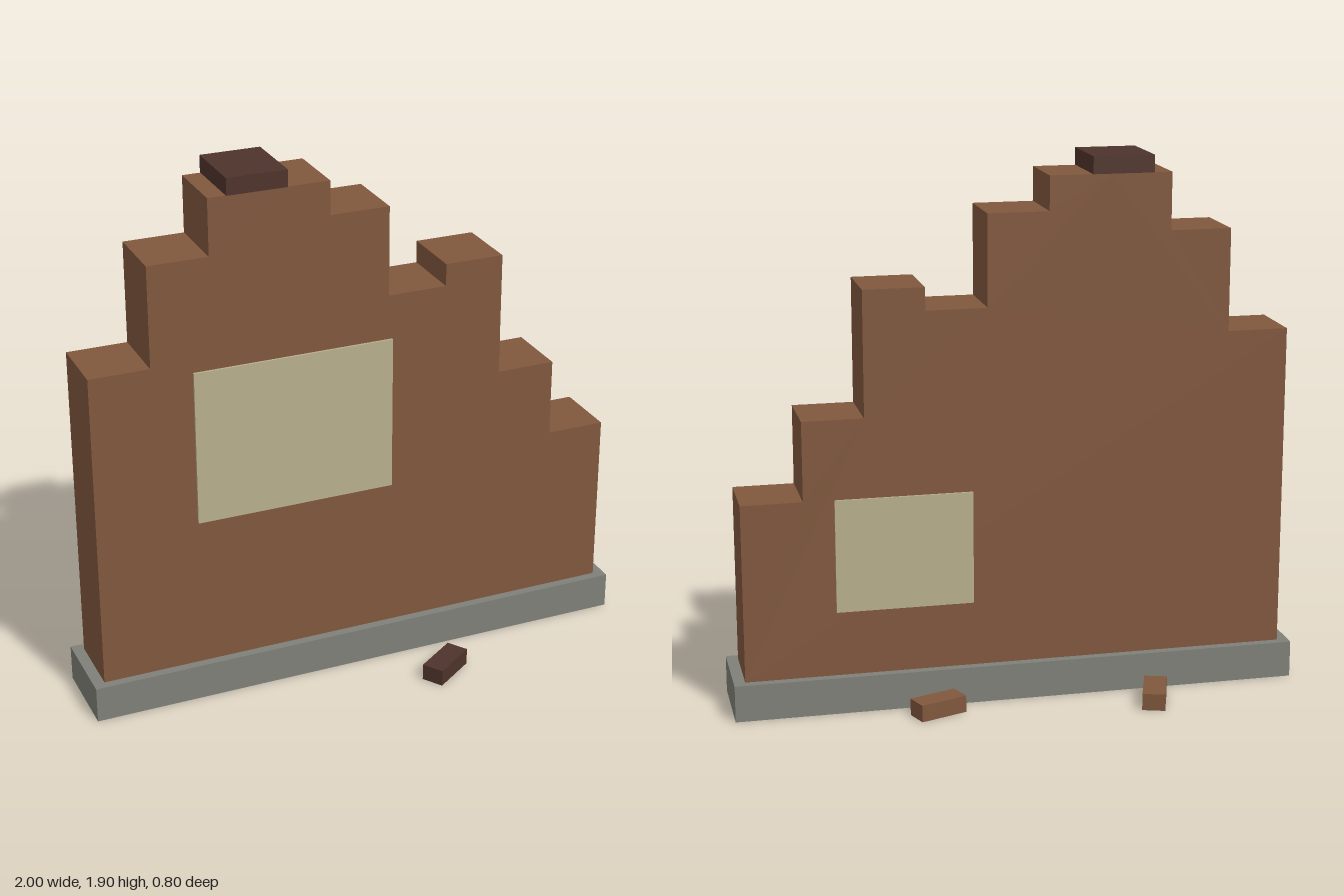
import * as THREE from 'three';

const mat = (color) => new THREE.MeshStandardMaterial({ color, flatShading: true });

export function createModel() {
  const group = new THREE.Group();
  const brick = mat(0x80573d), darkBrick = mat(0x4e332a);
  const stone = mat(0x7f8078), plaster = mat(0xb8af8c);
  const midZ = -0.025; // centre plane of the wall

  const box = (name, material, [w, h, d], [x, y, z], turn = 0) => {
    const mesh = new THREE.Mesh(new THREE.BoxGeometry(w, h, d), material);
    mesh.name = name;
    mesh.position.set(x, y, z);
    mesh.rotation.y = turn;
    group.add(mesh);
  };

  // Stone footing
  box('footing', stone, [2, 0.13, 0.304], [0, 0.065, midZ]);

  // Broken wall: equal columns with a stepped top edge
  const tops = [1.28, 1.64, 1.84, 1.84, 1.72, 1.4, 1.48, 1.04, 0.76];
  const step = 1.92 / tops.length, depth = 0.24;
  const outline = new THREE.Shape();
  outline.moveTo(-0.96, 0.13);
  tops.forEach((y, i) => {
    const x = -0.96 + i * step;
    outline.lineTo(x, y);
    if (tops[i + 1] !== y) outline.lineTo(x + step, y);
  });
  outline.lineTo(0.96, 0.13);
  const wall = new THREE.Mesh(
    new THREE.ExtrudeGeometry(outline, { depth, bevelEnabled: false }), brick);
  wall.name = 'brokenWall';
  wall.position.z = midZ - depth / 2;
  group.add(wall);

  // Loose cap brick on the peak
  box('capBrick', darkBrick, [0.213, 0.06, 0.248], [-0.363, 1.87, midZ]);

  // Plaster patches on both faces
  box('frontPlaster', plaster, [0.72, 0.56, 0.016], [-0.24, 0.96, 0.095]);
  box('backPlaster', plaster, [0.48, 0.4, 0.016], [0.4, 0.56, -0.145]);

  // Fallen bricks around the footing
  const size = [0.176, 0.06, 0.08];
  box('fallenBrickFront', darkBrick, size, [0.242, 0.03, 0.31], 0.6);
  box('fallenBrickBackLeft', brick, size, [0.307, 0.03, -0.25], 0.35);
  box('fallenBrickBackRight', brick, size, [-0.454, 0.03, -0.307], 1.25);

  return group;
}
